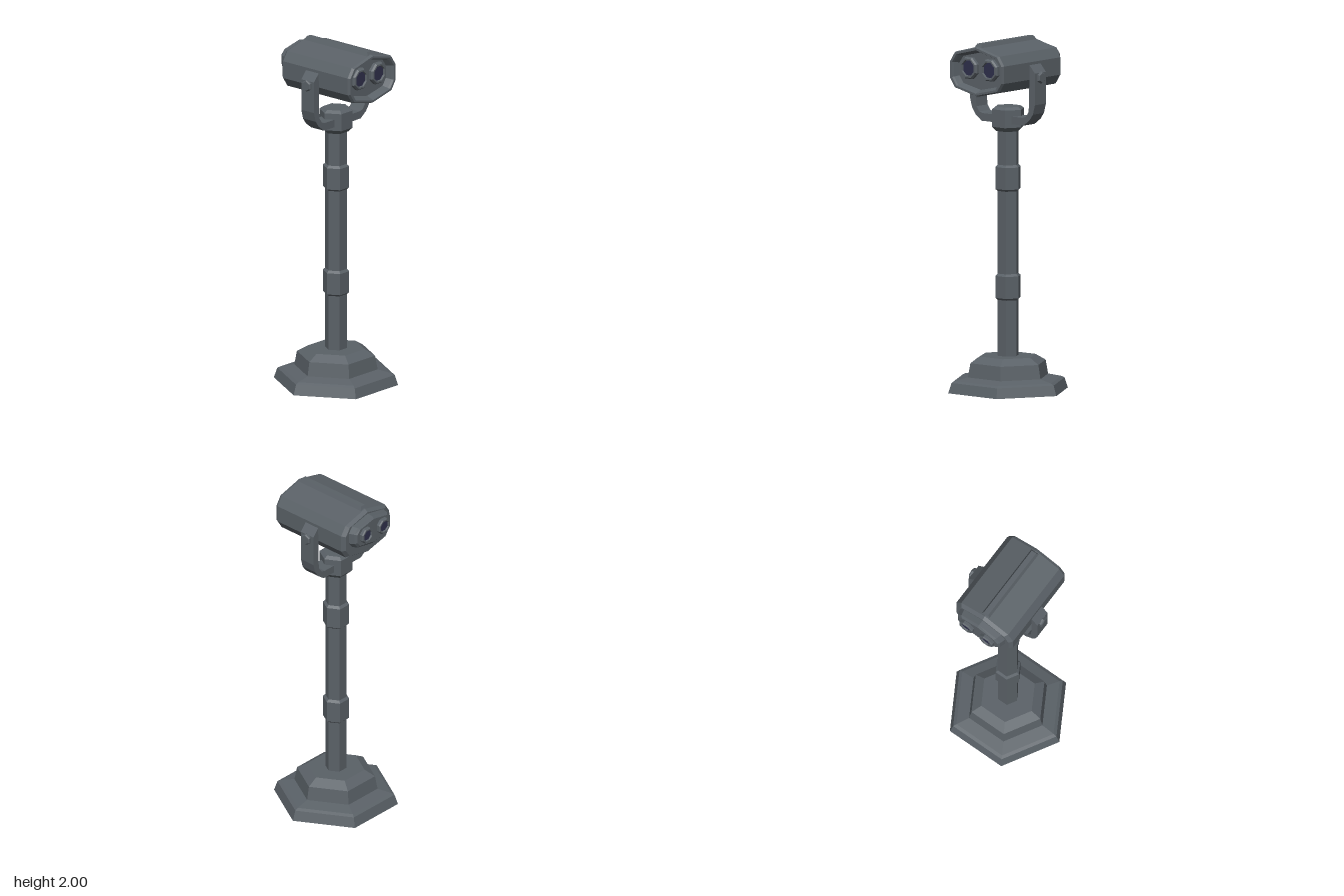
import * as THREE from 'three';

const metal = new THREE.MeshStandardMaterial({ color: 0x5a6167 });
metal.name = 'gunmetal';
const glass = new THREE.MeshStandardMaterial({ color: 0x2e2f4a });
glass.name = 'lens glass';

// Gives a geometry hard, faceted normals
function faceted(geo) {
  const g = geo.index ? geo.toNonIndexed() : geo;
  g.computeVertexNormals();
  return g;
}

function add(group, name, geo, material = metal) {
  const mesh = new THREE.Mesh(faceted(geo), material);
  mesh.name = name;
  group.add(mesh);
  return mesh;
}

// Turned part from [radius, height] pairs; hexagons get corners on the x axis
function turned(points, sides = 6) {
  const geo = new THREE.LatheGeometry(points.map(([r, y]) => new THREE.Vector2(r, y)), sides);
  return geo.rotateY(Math.PI / sides);
}

// Skin over rings ordered front to back, each counterclockwise seen from +z, with both ends capped
function loft(rings) {
  const pos = [];
  const n = rings[0].length;
  const tri = (...corners) => corners.forEach((p) => pos.push(...p));
  for (let s = 0; s < rings.length - 1; s++) {
    for (let i = 0; i < n; i++) {
      const j = (i + 1) % n;
      const [a, b, c, d] = [rings[s][i], rings[s][j], rings[s + 1][j], rings[s + 1][i]];
      tri(a, d, c);
      tri(a, c, b);
    }
  }
  const first = rings[0];
  const last = rings[rings.length - 1];
  for (let i = 1; i < n - 1; i++) {
    tri(first[0], first[i], first[i + 1]);
    tri(last[0], last[i + 1], last[i]);
  }
  const geo = new THREE.BufferGeometry();
  geo.setAttribute('position', new THREE.Float32BufferAttribute(pos, 3));
  return geo;
}

// Body cross-section, about its own centre
const half = [[0, -0.143], [0.163, -0.105], [0.198, -0.052], [0.198, 0.047], [0.163, 0.1], [0, 0.142]];
const section = [...half, ...half.slice(1, -1).reverse().map(([x, y]) => [-x, y])];
const ring = (z, sx, sy, cy = 1.843) => section.map(([x, y]) => [x * sx, cy + y * sy, z]);

export function createModel() {
  const model = new THREE.Group();
  model.name = 'coinViewer';

  // Stepped hexagonal foot
  add(model, 'base', turned([
    [0, 0], [0.358, 0], [0.338, 0.058], [0.318, 0.068], [0.24, 0.085], [0.225, 0.165], [0.165, 0.2], [0, 0.2],
  ]));

  // Post with two collars
  add(model, 'post', turned([[0.062, 0.19], [0.062, 1.5]]));
  for (const y of [0.595, 1.215]) {
    add(model, 'collar', turned([
      [0.06, y - 0.078], [0.076, y - 0.065], [0.076, y + 0.06], [0.06, y + 0.075],
    ]));
  }
  add(model, 'postHead', turned([
    [0, 1.48], [0.07, 1.48], [0.096, 1.505], [0.096, 1.605], [0.075, 1.62], [0, 1.62],
  ]));

  // U-shaped yoke
  const side = [[0.2, 1.875], [0.24, 1.83], [0.24, 1.65], [0.225, 1.595], [0.2, 1.56], [0.155, 1.526]];
  const inner = [[0.145, 1.57], [0.172, 1.577], [0.192, 1.605], [0.197, 1.65]];
  const right = [...inner, ...side];
  const mirror = (pts) => pts.map(([x, y]) => [-x, y]);
  const outline = [...right, ...mirror([...right].reverse())];
  const yokeShape = new THREE.Shape(outline.map(([x, y]) => new THREE.Vector2(x, y)));
  const yoke = new THREE.ExtrudeGeometry(yokeShape, { depth: 0.096, bevelEnabled: false });
  add(model, 'yoke', yoke.translate(0, 0, -0.048));

  // Pivot bolts
  for (const s of [1, -1]) {
    const bolt = turned([[0.034, 0], [0.034, 0.012], [0.027, 0.018], [0, 0.018]]);
    bolt.rotateZ(-s * Math.PI / 2).translate(s * 0.238, 1.803, 0);
    add(model, 'pivotBolt', bolt);
  }

  // Binocular housing: recessed front, stepped back plate
  add(model, 'housing', loft([
    ring(0.235, 0.8, 0.75),
    ring(0.268, 0.86, 0.83),
    ring(0.28, 0.89, 0.87),
    ring(0.28, 0.96, 0.955),
    ring(0.265, 1, 1),
    ring(-0.222, 1, 1),
    ring(-0.243, 0.91, 0.9),
    ring(-0.243, 0.79, 0.66, 1.868),
    ring(-0.278, 0.74, 0.62, 1.872),
    ring(-0.29, 0.68, 0.52, 1.872),
  ]));

  // Sighting ridge, tapered towards its top
  const ridge = new THREE.BoxGeometry(0.06, 0.03, 0.485);
  const p = ridge.attributes.position;
  for (let i = 0; i < p.count; i++) {
    if (p.getY(i) > 0) p.setXYZ(i, p.getX(i) * 0.5, p.getY(i), p.getZ(i) * 0.94);
  }
  add(model, 'sightRidge', ridge.translate(0, 1.985, 0.0215));

  // Front lenses and rear eyepieces
  for (const s of [1, -1]) {
    const barrel = turned([[0.066, 0], [0.066, 0.02], [0.058, 0.03], [0.048, 0.03], [0.045, 0.016]], 8);
    add(model, 'lensBarrel', barrel.rotateX(Math.PI / 2).translate(s * 0.076, 1.855, 0.232));
    const lens = new THREE.CircleGeometry(0.047, 8).rotateZ(Math.PI / 8);
    add(model, 'frontLens', lens.translate(s * 0.076, 1.855, 0.25), glass);

    const eyepiece = turned([[0.049, 0], [0.049, 0.026], [0.044, 0.032], [0.035, 0.032], [0.032, 0.02]], 8);
    add(model, 'eyepiece', eyepiece.rotateX(-Math.PI / 2).translate(s * 0.07, 1.875, -0.28));
    const eyeLens = new THREE.CircleGeometry(0.034, 8).rotateZ(Math.PI / 8).rotateY(Math.PI);
    add(model, 'eyepieceLens', eyeLens.translate(s * 0.07, 1.875, -0.302), glass);
  }

  return model;
}
